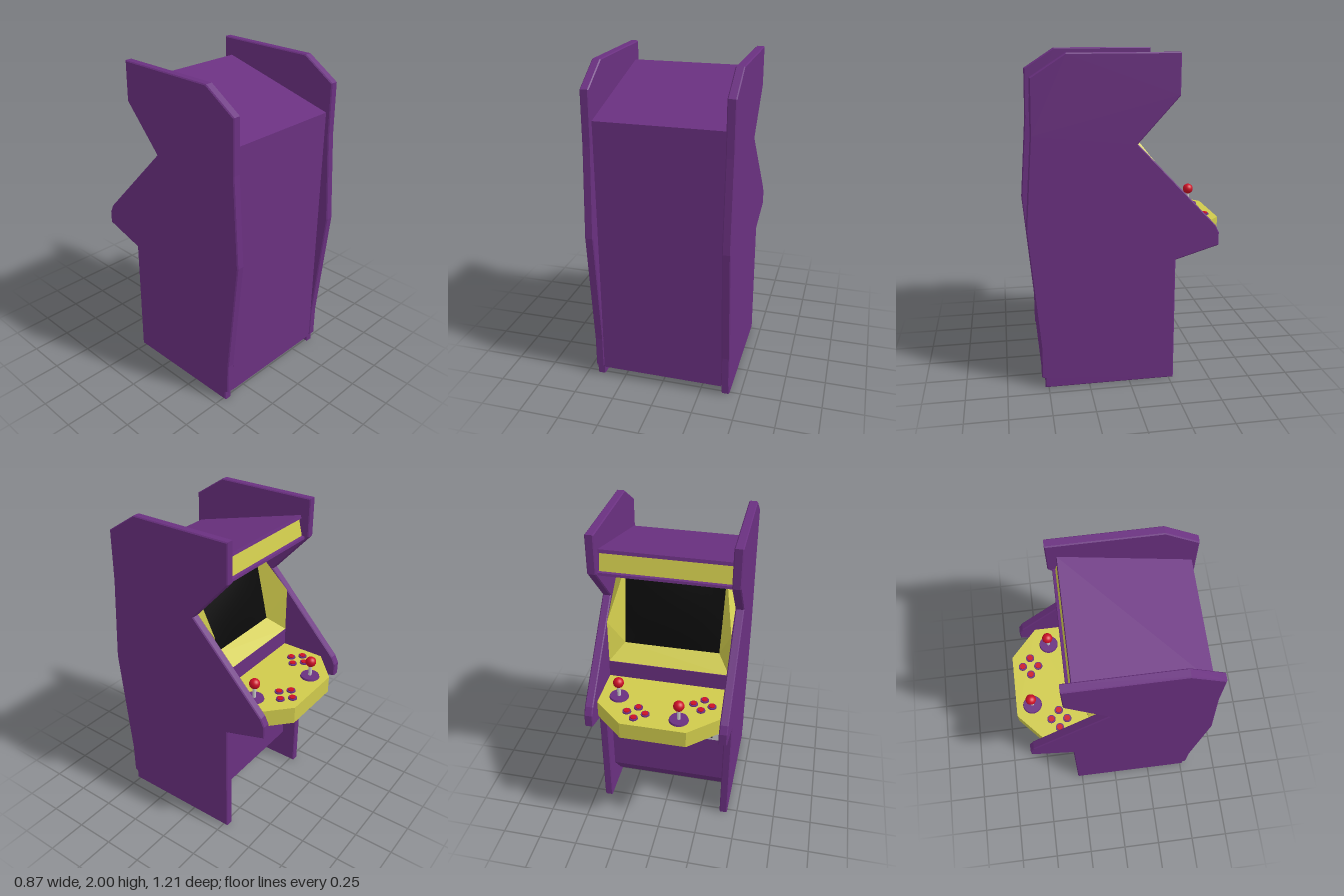
import * as THREE from 'three';

const mat = (color, extra = {}) => new THREE.MeshStandardMaterial({ color, ...extra });
const purple = mat(0x6a3080);
const yellow = mat(0xcfca4c);
const yellowThin = mat(0xcfca4c, { side: THREE.DoubleSide, flatShading: true });
const red = mat(0xcc1026);
const black = mat(0x0b0b0b);
const grey = mat(0xcccccc);
const darkGrey = mat(0x444444);

export function createModel() {
  const group = new THREE.Group();
  const add = (name, geometry, material, x = 0, y = 0, z = 0, parent = group) => {
    const mesh = new THREE.Mesh(geometry, material);
    mesh.name = name;
    mesh.position.set(x, y, z);
    parent.add(mesh);
    return mesh;
  };
  const shapeOf = (points) => new THREE.Shape(points.map(([a, b]) => new THREE.Vector2(a, b)));

  // Extrudes a (z, y) side profile along x, centred on x = 0
  const acrossX = (points, width, bevel = 0) => {
    const g = new THREE.ExtrudeGeometry(shapeOf(points), {
      depth: width - 2 * bevel, bevelEnabled: bevel > 0, bevelSize: bevel,
      bevelThickness: bevel, bevelOffset: -bevel, bevelSegments: 1,
    });
    g.translate(0, 0, bevel - width / 2);
    return g.rotateY(-Math.PI / 2);
  };

  // Side panels
  const panel = acrossX([
    [0.52, 0], [-0.28, 0], [-0.28, 0.78], [-0.545, 0.86], [-0.545, 0.94], [-0.52, 0.99],
    [-0.045, 1.49], [-0.29, 1.76], [-0.29, 2], [0.36, 2], [0.56, 1.87],
    [0.565, 1.55], [0.605, 1.0], [0.54, 0.27], [0.54, 0.07], [0.52, 0.06],
  ], 0.052, 0.006);
  for (const s of [1, -1]) add(s > 0 ? 'leftSidePanel' : 'rightSidePanel', panel, purple, s * 0.408, 0, 0);

  // Cabinet body between the panels, with screen cavity and kick slope
  add('cabinetBody', acrossX([
    [0.535, 0.06], [0.535, 1.69], [-0.23, 1.89], [-0.235, 1.87], [-0.215, 1.865],
    [-0.24, 1.765], [-0.262, 1.76], [-0.265, 1.745], [0.2, 1.62], [0.1, 1.1],
    [-0.16, 1.08], [-0.16, 0.9], [-0.18, 0.88], [-0.18, 0.22], [-0.06, 0.06],
  ], 0.765), purple);

  // Lit sign above the screen
  add('marquee', acrossX([[-0.222, 1.865], [-0.247, 1.764], [-0.235, 1.764], [-0.21, 1.865]], 0.755), yellow);

  // Screen surround: funnel from the cabinet opening to the screen edge
  const bezel = [];
  const tri = (a, b, c) => bezel.push(...a, ...b, ...c);
  for (const s of [1, -1]) {
    const rim = [
      [0.38, 1.08, -0.16], [0.38, 1.37, -0.16], [0.38, 1.63, 0.17], [0.31, 1.65, 0.06], [0.3, 1.17, -0.06],
    ].map(([x, y, z]) => [s * x, y, z]);
    tri(rim[0], rim[1], rim[4]);
    tri(rim[1], rim[3], rim[4]);
    tri(rim[1], rim[2], rim[3]);
  }
  const ledge = [[-0.38, 1.083, -0.16], [0.38, 1.083, -0.16], [0.3, 1.17, -0.06], [-0.3, 1.17, -0.06]];
  tri(ledge[0], ledge[2], ledge[1]);
  tri(ledge[0], ledge[3], ledge[2]);
  const bezelGeometry = new THREE.BufferGeometry();
  bezelGeometry.setAttribute('position', new THREE.Float32BufferAttribute(bezel, 3));
  bezelGeometry.computeVertexNormals();
  add('screenBezel', bezelGeometry, yellowThin);

  // Slightly bulging screen
  const screen = new THREE.PlaneGeometry(0.63, 0.5, 12, 12);
  const p = screen.attributes.position;
  for (let i = 0; i < p.count; i++) {
    const u = p.getX(i) / 0.315, v = p.getY(i) / 0.25;
    p.setZ(i, 0.025 * (1 - u * u) * (1 - v * v));
  }
  screen.computeVertexNormals();
  screen.rotateY(Math.PI).rotateX(0.245);
  add('screen', screen, black, 0, 1.41, 0);

  // Control deck with chamfered front corners
  const deck = new THREE.ExtrudeGeometry(shapeOf([
    [-0.382, 0.15], [0.382, 0.15], [0.382, 0.44], [0.2, 0.605], [-0.2, 0.605], [-0.382, 0.44],
  ]), { depth: 0.11, bevelEnabled: false });
  deck.rotateX(-Math.PI / 2);
  add('controlDeck', deck, yellow, 0, 0.86, 0);

  // Joysticks
  for (const [x, z] of [[-0.137, -0.503], [0.265, -0.36]]) {
    const stick = new THREE.Group();
    stick.name = 'joystick';
    stick.position.set(x, 0.97, z);
    group.add(stick);
    add('joystickBase', new THREE.CylinderGeometry(0.056, 0.06, 0.012, 32), purple, 0, 0.006, 0, stick);
    add('joystickShaft', new THREE.CylinderGeometry(0.011, 0.011, 0.1, 16), grey, 0, 0.05, 0, stick);
    add('joystickBall', new THREE.SphereGeometry(0.033, 24, 16), red, 0, 0.107, 0, stick);
  }

  // Button clusters, four per player
  const ring = new THREE.CylinderGeometry(0.026, 0.027, 0.008, 24);
  const cap = new THREE.CylinderGeometry(0.018, 0.019, 0.012, 24);
  for (const [cx, cz] of [[0.125, -0.492], [-0.252, -0.342]]) {
    for (const [dx, dz] of [[0.003, -0.05], [-0.057, -0.002], [0.057, 0.002], [-0.003, 0.05]]) {
      add('buttonRing', ring, purple, cx + dx, 0.974, cz + dz);
      add('buttonCap', cap, red, cx + dx, 0.978, cz + dz);
    }
  }

  // Coin plate with two slots and a return flap
  add('coinPlate', new THREE.BoxGeometry(0.13, 0.165, 0.012), grey, -0.28, 0.65, -0.184);
  for (const x of [-0.31, -0.25]) {
    add('coinSlot', new THREE.BoxGeometry(0.008, 0.035, 0.006), darkGrey, x, 0.685, -0.191);
  }
  add('coinReturn', new THREE.BoxGeometry(0.04, 0.035, 0.006), darkGrey, -0.28, 0.605, -0.191);

  return group;
}
